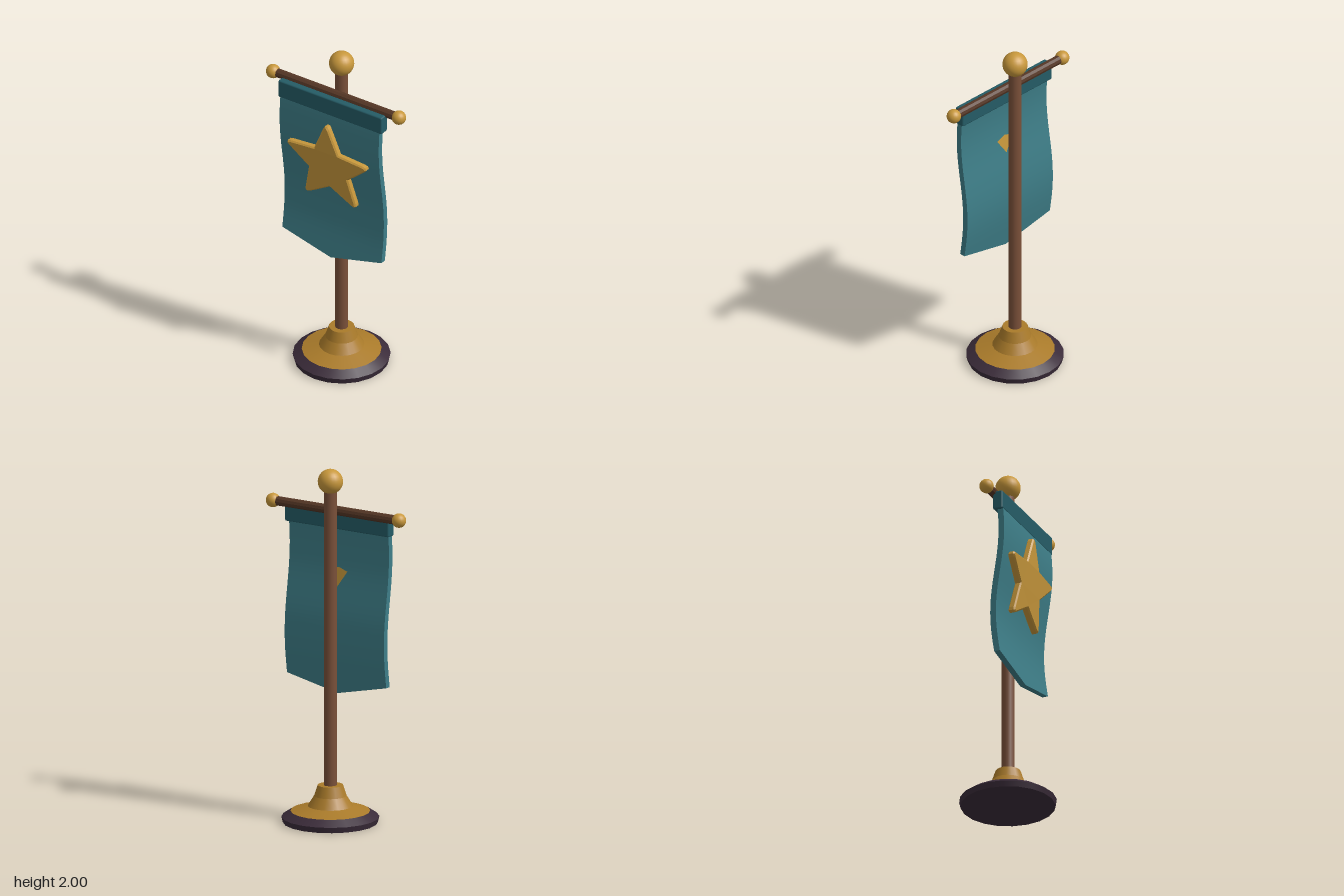
import * as THREE from 'three';
import { RoundedBoxGeometry } from 'three/addons/geometries/RoundedBoxGeometry.js';

const paint = (name, color, extra = {}) => {
  const m = new THREE.MeshStandardMaterial({ color, ...extra });
  m.name = name;
  return m;
};

// Depth of the hanging cloth at height y
const wave = (y) => 0.08 + 0.025 * Math.sin((y - 1.28) * Math.PI * 2);

export function createModel() {
  const group = new THREE.Group();
  const gold = paint('gold', 0xc8983c);
  const oldGold = paint('dark gold', 0xaa7b2a);
  const wood = paint('pole wood', 0x7a5039);
  const darkWood = paint('bar wood', 0x553625);
  const cloth = paint('teal cloth', 0x3e7e88);
  const hemCloth = paint('dark teal', 0x255c66);
  const plum = paint('dark plum', 0x3a2b39);

  const add = (name, geometry, material, x = 0, y = 0, z = 0) => {
    const mesh = new THREE.Mesh(geometry, material);
    mesh.name = name;
    mesh.position.set(x, y, z);
    group.add(mesh);
    return mesh;
  };

  // Stepped base: each profile segment is its own ring so the edges stay sharp
  const rings = (name, points, material) => {
    for (let i = 0; i < points.length - 1; i++) {
      const pair = [points[i], points[i + 1]].map((p) => new THREE.Vector2(...p));
      add(name, new THREE.LatheGeometry(pair, 20), material);
    }
  };
  rings('baseDisc', [[0, 0], [0.262, 0], [0.27, 0.032], [0.22, 0.065]], plum);
  rings('baseCollar', [[0.22, 0.065], [0.125, 0.093], [0.09, 0.15], [0.07, 0.21], [0, 0.21]], oldGold);

  // Pole and top knob
  add('pole', new THREE.CylinderGeometry(0.037, 0.037, 1.72, 16), wood, 0, 1.04, 0);
  add('topKnob', new THREE.SphereGeometry(0.07, 24, 16), gold, 0, 1.93, 0);

  // Crossbar with end knobs
  const bar = new THREE.CylinderGeometry(0.026, 0.026, 0.84, 10).toNonIndexed();
  bar.computeVertexNormals();
  add('crossbar', bar, darkWood, 0, 1.755, 0.055).rotation.z = Math.PI / 2;
  for (const side of [-1, 1]) {
    add('barKnob', new THREE.SphereGeometry(0.04, 20, 14), gold, side * 0.419, 1.755, 0.055);
  }

  // Waving cloth with a pointed lower edge
  const top = 1.72;
  const banner = new THREE.BoxGeometry(0.66, 1, 0.034, 12, 28, 1);
  const bp = banner.attributes.position;
  for (let i = 0; i < bp.count; i++) {
    const x = bp.getX(i);
    const bottom = 0.715 + 0.075 * Math.abs(x) / 0.33;
    const y = bottom + (bp.getY(i) + 0.5) * (top - bottom);
    bp.setXYZ(i, x, y, bp.getZ(i) + wave(y));
  }
  banner.computeVertexNormals();
  add('banner', banner, cloth);
  add('hem', new RoundedBoxGeometry(0.69, 0.107, 0.058, 1, 0.008), hemCloth, 0, 1.7, 0.088);

  // Five-pointed star with rounded tips, bent to follow the cloth
  const centre = 1.32;
  const ray = (radius, step) => new THREE.Vector2(
    Math.sin(step * Math.PI / 5) * radius, centre + Math.cos(step * Math.PI / 5) * radius);
  const outline = new THREE.Shape();
  for (let i = 0; i < 10; i += 2) {
    const tip = ray(0.28, i);
    const before = ray(0.127, i - 1);
    const after = ray(0.127, i + 1);
    const a = tip.clone().lerp(before, 0.15);
    const b = tip.clone().lerp(after, 0.15);
    if (i === 0) outline.moveTo(before.x, before.y);
    else outline.lineTo(before.x, before.y);
    outline.lineTo(a.x, a.y);
    outline.quadraticCurveTo(tip.x, tip.y, b.x, b.y);
  }
  outline.closePath();
  const star = new THREE.ExtrudeGeometry(outline, {
    depth: 0.026, bevelEnabled: true, bevelSize: 0.008, bevelThickness: 0.008,
    bevelSegments: 1, curveSegments: 3,
  });
  const sp = star.attributes.position;
  for (let i = 0; i < sp.count; i++) {
    sp.setZ(i, sp.getZ(i) + 0.022 + wave(sp.getY(i)));
  }
  star.computeVertexNormals();
  add('star', star, gold);

  // Small corner of the star showing through the back of the cloth
  const patch = new THREE.Shape([[0, 1.32], [0.06, 1.41], [0, 1.43], [-0.06, 1.41]]
    .map((p) => new THREE.Vector2(...p)));
  const back = new THREE.ShapeGeometry(patch);
  const pp = back.attributes.position;
  for (let i = 0; i < pp.count; i++) pp.setZ(i, wave(pp.getY(i)) - 0.02);
  back.computeVertexNormals();
  add('starBacking', back, paint('gold backing', 0xc8983c, { side: THREE.DoubleSide }));

  return group;
}
